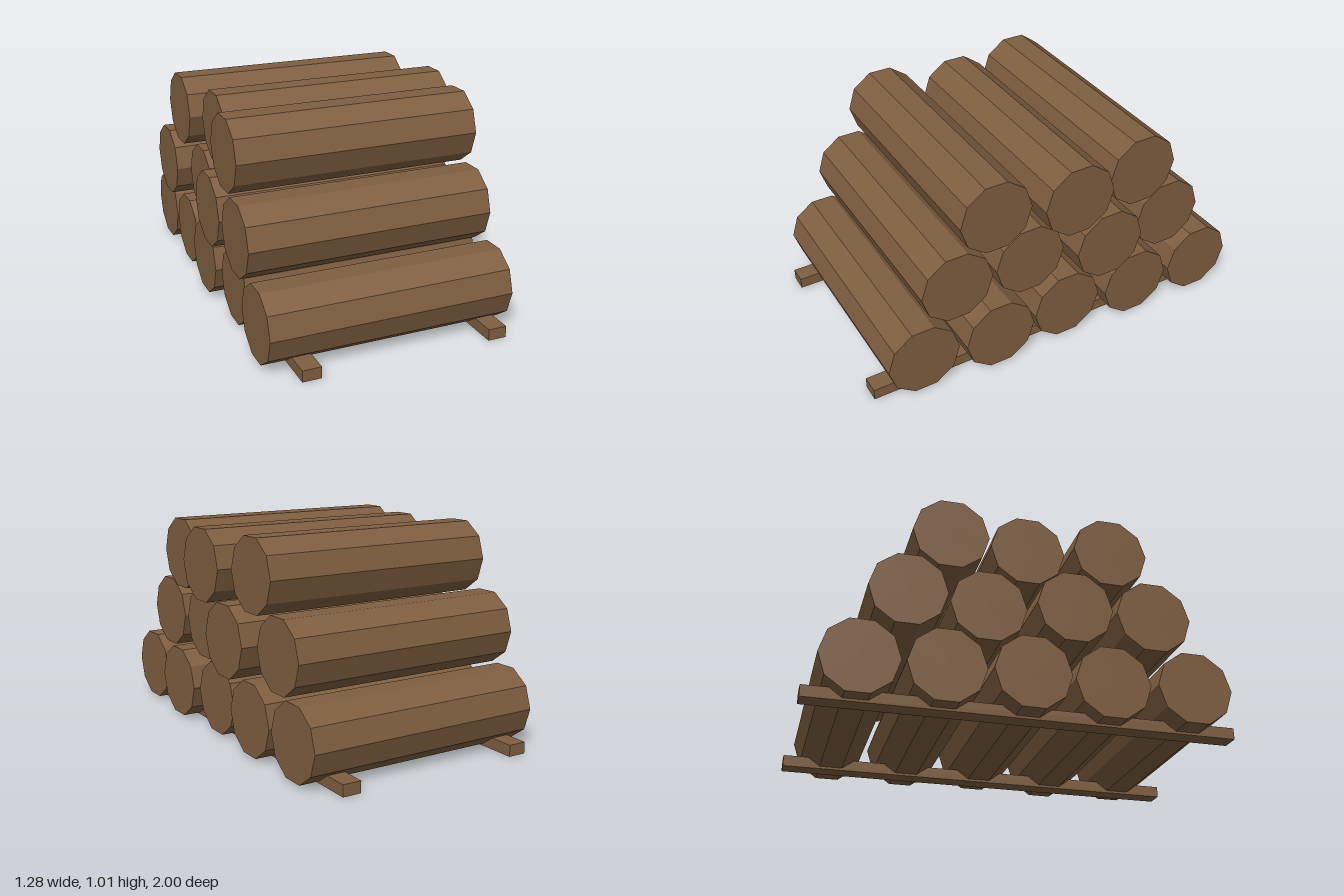
import * as THREE from 'three';

export function createModel() {
  const model = new THREE.Group();
  model.name = 'logPile';
  const wood = new THREE.MeshStandardMaterial({ name: 'brown wood', color: 0x7f5e40, flatShading: true });

  // Ten-sided log lying along x, with a corner pointing to +z
  const logGeometry = new THREE.CylinderGeometry(0.18, 0.18, 1.18, 10);
  logGeometry.rotateZ(Math.PI / 2);

  // Rows from the bottom up; each log is shifted along x, listed front to back
  const spacing = 0.382;
  const rows = [
    { name: 'bottomLog', y: 0.183, shifts: [-0.03, 0.002, -0.02, 0.008, 0.01] },
    { name: 'middleLog', y: 0.512, shifts: [-0.05, -0.055, 0.035, -0.03] },
    { name: 'topLog', y: 0.839, shifts: [-0.03, 0.05, -0.007] },
  ];
  for (const { name, y, shifts } of rows) {
    shifts.forEach((x, i) => {
      const log = new THREE.Mesh(logGeometry, wood);
      log.name = name + (i + 1);
      log.position.set(x, y, ((shifts.length - 1) / 2 - i) * spacing);
      model.add(log);
    });
  }

  // Two skids under the pile
  const skidGeometry = new THREE.BoxGeometry(0.09, 0.055, 2);
  for (const side of [-1, 1]) {
    const skid = new THREE.Mesh(skidGeometry, wood);
    skid.name = side > 0 ? 'leftSkid' : 'rightSkid';
    skid.position.set(side * 0.455, 0.0275, 0);
    model.add(skid);
  }
  return model;
}
